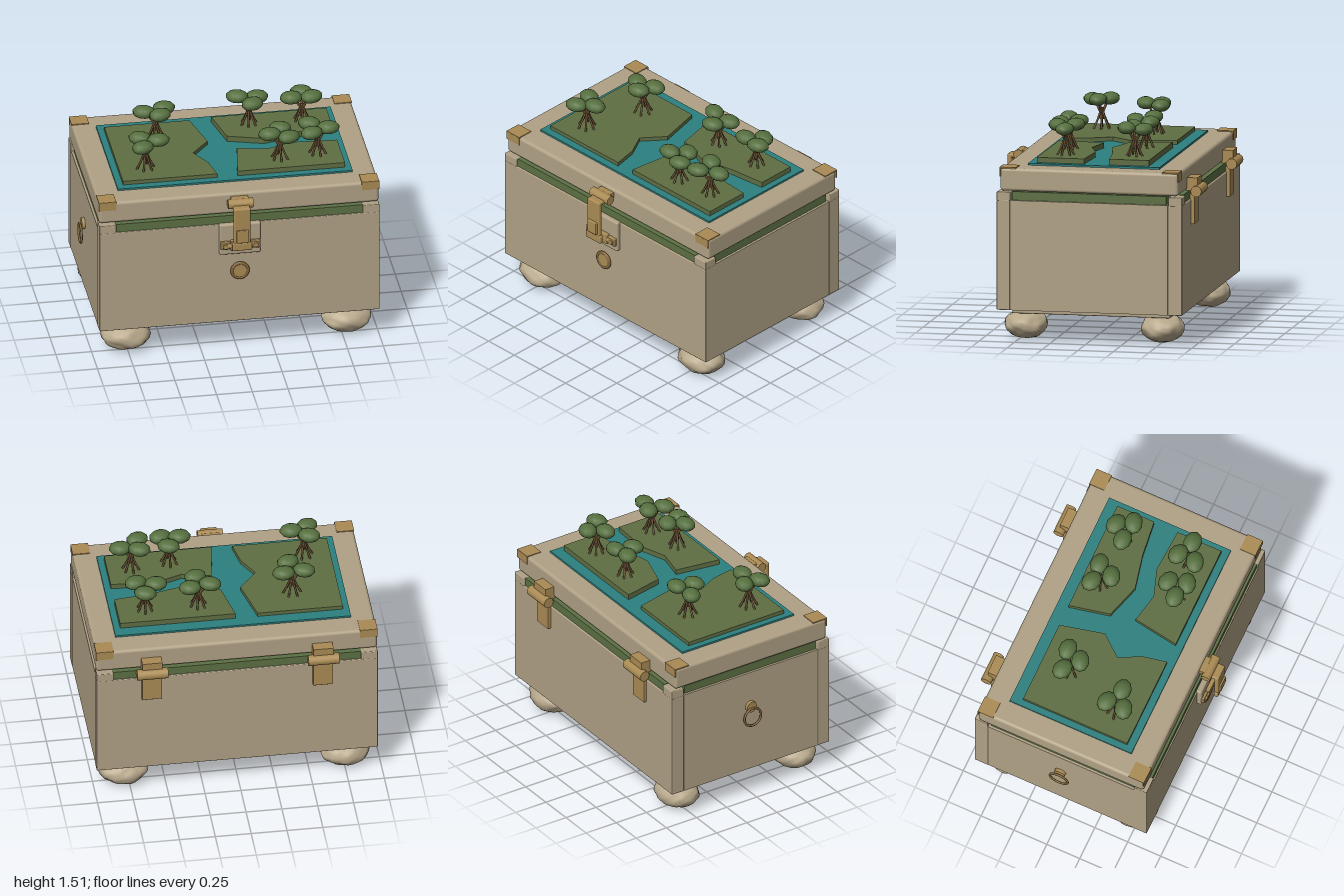
import * as THREE from 'three';
import { mergeVertices } from 'three/addons/utils/BufferGeometryUtils.js';
import { RoundedBoxGeometry } from 'three/addons/geometries/RoundedBoxGeometry.js';

const mat = (name, color) => Object.assign(new THREE.MeshStandardMaterial({ color }), { name });

export function createModel() {
  const M = {
    stone: mat('sandstone', 0xb0a185),
    rock: mat('pale rock', 0xb8a98c),
    brass: mat('brass', 0xaa8b54),
    bronze: mat('dark bronze', 0x80643a),
    lining: mat('lining green', 0x5c7044),
    land: mat('land green', 0x5f6e43),
    water: mat('water teal', 0x2c8080),
    leaf: mat('leaf green', 0x56703f),
    wood: mat('root brown', 0x6b5233),
  };
  const root = new THREE.Group();
  const V = (x, y, z) => new THREE.Vector3(x, y, z);
  const add = (name, geo, m, parent = root) => {
    const mesh = new THREE.Mesh(geo, m);
    mesh.name = name;
    parent.add(mesh);
    return mesh;
  };
  // box given by its limits, optionally with rounded edges
  const box = (name, m, x0, x1, y0, y1, z0, z1, r = 0, parent = root) => {
    const s = [x1 - x0, y1 - y0, z1 - z0];
    const geo = r ? new RoundedBoxGeometry(...s, 3, r) : new THREE.BoxGeometry(...s);
    geo.translate((x0 + x1) / 2, (y0 + y1) / 2, (z0 + z1) / 2);
    return add(name, geo, m, parent);
  };
  // tapered rod between two points
  const rod = (name, m, a, b, r0, r1, sides, parent = root) => {
    const d = b.clone().sub(a);
    const mesh = add(name, new THREE.CylinderGeometry(r1, r0, d.length(), sides), m, parent);
    mesh.position.copy(a).add(b).multiplyScalar(0.5);
    mesh.quaternion.setFromUnitVectors(V(0, 1, 0), d.normalize());
    return mesh;
  };

  const X0 = -0.965, X1 = 0.995, Z0 = -0.68, Z1 = 0.627, CX = 0.015;

  // chest body: front and back slabs, side panels between them, base slab
  box('frontPanel', M.stone, X0, X1, 0.222, 0.99, 0.533, Z1, 0.006);
  box('backPanel', M.stone, X0, X1, 0.222, 0.99, Z0, -0.58, 0.006);
  box('sidePanels', M.stone, X0 + 0.003, X1 - 0.003, 0.222, 0.99, -0.58, 0.533);
  box('base', M.stone, -0.885, 0.912, 0.188, 0.23, -0.58, 0.535, 0.008);

  // green lining showing under the lid, with corner posts
  box('liningLong', M.lining, -0.85, 0.88, 0.98, 1.05, Z0 + 0.012, Z1 - 0.01);
  box('liningWide', M.lining, X0 + 0.02, X1 - 0.02, 0.98, 1.05, -0.565, 0.523);
  for (const x of [X0, X1 - 0.118])
    for (const z of [Z0, Z1 - 0.097])
      box('cornerPost', M.stone, x, x + 0.118, 0.985, 1.048, z, z + 0.097, 0.006);

  // lid with brass corner plates
  const LZ0 = -0.652, LZ1 = 0.602;
  box('lid', M.stone, X0, X1, 1.055, 1.215, LZ0, LZ1, 0.022);
  for (const x of [X0 - 0.001, X1 - 0.121])
    for (const [z, flap] of [[LZ0 - 0.004, LZ0 - 0.005], [LZ1 - 0.112, LZ1 - 0.003]]) {
      box('cornerPlate', M.brass, x, x + 0.122, 1.212, 1.221, z, z + 0.116);
      box('cornerFlap', M.brass, x, x + 0.122, 1.157, 1.218, flap, flap + 0.008);
    }

  // rock feet
  const rockGeo = (seed) => {
    const g0 = new THREE.IcosahedronGeometry(1, 6);
    g0.deleteAttribute('normal');
    g0.deleteAttribute('uv');
    const g = mergeVertices(g0, 1e-4), p = g.attributes.position, v = V(0, 0, 0);
    for (let i = 0; i < p.count; i++) {
      v.fromBufferAttribute(p, i);
      const n = Math.sin(v.x * 4 + seed) * Math.sin(v.y * 5 + seed * 2) * Math.sin(v.z * 4.5 + 1)
        + 0.5 * Math.sin(v.x * 9 + v.y * 7 + seed) * Math.cos(v.z * 8 - v.y * 5);
      v.multiplyScalar(1 + 0.06 * n);
      p.setXYZ(i, v.x * 0.173, v.y * 0.1, v.z * 0.148);
    }
    g.computeVertexNormals();
    return g;
  };
  [[-0.757, 0.46], [0.787, 0.46], [-0.757, -0.502], [0.787, -0.502]].forEach(([x, z], i) =>
    add('rockFoot', rockGeo(i * 1.7), M.rock).position.set(x, 0.103, z));

  // water sheet and land slabs on the lid
  box('water', M.water, -0.805, 0.838, 1.21, 1.228, -0.488, 0.438);
  const lands = [
    [1.256, [-0.76, -0.405], [-0.165, -0.405], [-0.09, -0.09], [-0.215, 0.06], [-0.135, 0.21], [-0.1, 0.385], [-0.76, 0.385]],
    [1.268, [-0.012, -0.405], [0.793, -0.405], [0.793, -0.125], [0.54, -0.095], [0.295, -0.04], [0.05, -0.115]],
    [1.264, [0.09, 0.058], [0.295, 0.1], [0.485, 0.035], [0.793, 0.053], [0.793, 0.385], [0.04, 0.385]],
  ];
  for (const [top, ...pts] of lands) {
    const shape = new THREE.Shape(pts.map(([x, z]) => new THREE.Vector2(x, -z)));
    const geo = new THREE.ExtrudeGeometry(shape, { depth: top - 1.22, bevelEnabled: false });
    add('land', geo.rotateX(-Math.PI / 2).translate(0, 1.22, 0), M.land);
  }

  // mangrove trees: stilt roots, three branches and three leaf clumps
  const leafGeo = new THREE.SphereGeometry(1, 10, 7);
  const trees = [
    [[-0.435, -0.195], [-0.515, -0.22], [-0.37, -0.245], [-0.415, -0.13]],
    [[-0.575, 0.215], [-0.605, 0.16], [-0.487, 0.222], [-0.605, 0.285]],
    [[0.23, -0.27], [0.152, -0.305], [0.292, -0.31], [0.242, -0.197]],
    [[0.6, -0.265], [0.607, -0.33], [0.52, -0.24], [0.66, -0.22]],
    [[0.36, 0.245], [0.373, 0.175], [0.285, 0.265], [0.415, 0.298]],
    [[0.63, 0.215], [0.58, 0.155], [0.705, 0.207], [0.577, 0.283]],
  ];
  trees.forEach(([[cx, cz], ...clumps], t) => {
    const tree = new THREE.Group();
    tree.name = 'mangroveTree';
    root.add(tree);
    const fork = V(cx, 1.355, cz);
    for (let i = 0; i < 6; i++) {
      const a = (i / 6) * Math.PI * 2 + t * 0.9;
      const at = (r, y) => V(cx + Math.cos(a) * r, y, cz + Math.sin(a) * r);
      const path = new THREE.CatmullRomCurve3([at(0.008, 1.38), at(0.028, 1.325), at(0.064, 1.25)]);
      add('stiltRoot', new THREE.TubeGeometry(path, 5, 0.0075, 6), M.wood, tree);
    }
    rod('trunk', M.wood, V(cx, 1.32, cz), V(cx, 1.4, cz), 0.016, 0.013, 7, tree);
    clumps.forEach(([x, z], i) => {
      const y = 1.462 + 0.008 * ((i + t) % 3 - 1);
      rod('branch', M.wood, fork, V(cx + (x - cx) * 0.75, y - 0.01, cz + (z - cz) * 0.75), 0.011, 0.007, 6, tree);
      const leaf = add('leafClump', leafGeo, M.leaf, tree);
      leaf.position.set(x, y, z);
      leaf.scale.set(0.08, 0.044, 0.064);
      leaf.rotation.y = (i - 1) * 0.35;
    });
  });

  // front latch: back plate, pivot bar, barrel and hanging strap
  const latch = new THREE.Group();
  latch.name = 'latch';
  root.add(latch);
  box('latchPlate', M.stone, CX - 0.145, CX + 0.145, 0.762, 1.0, 0.615, 0.657, 0.014, latch);
  box('latchBase', M.brass, CX - 0.07, CX + 0.07, 0.805, 0.88, 0.65, 0.685, 0.006, latch);
  rod('latchPin', M.brass, V(CX - 0.125, 0.84, 0.67), V(CX + 0.125, 0.84, 0.67), 0.018, 0.018, 14, latch);
  for (const s of [-1, 1]) {
    const x = CX + s * 0.105;
    box('latchLug', M.brass, x - 0.034, x + 0.034, 0.81, 0.872, 0.65, 0.674, 0.006, latch);
    rod('latchScrew', M.brass, V(x, 0.84, 0.665), V(x, 0.84, 0.688), 0.02, 0.018, 12, latch);
  }
  box('latchMount', M.brass, CX - 0.06, CX + 0.06, 1.14, 1.19, 0.595, 0.65, 0, latch);
  rod('latchBarrel', M.brass, V(CX - 0.088, 1.163, 0.662), V(CX + 0.088, 1.163, 0.662), 0.034, 0.034, 20, latch);
  box('latchArm', M.brass, CX - 0.058, CX + 0.058, 1.135, 1.163, 0.67, 0.745, 0.01, latch);
  box('latchStrap', M.brass, CX - 0.058, CX + 0.058, 0.84, 1.16, 0.714, 0.746, 0.01, latch);
  box('latchFoot', M.brass, CX - 0.07, CX + 0.07, 0.835, 0.895, 0.716, 0.748, 0.01, latch);
  box('latchTab', M.brass, CX - 0.042, CX + 0.042, 0.9, 0.997, 0.735, 0.76, 0.006, latch);

  // round boss on the front
  rod('bossDisc', M.brass, V(CX, 0.626, 0.62), V(CX, 0.626, 0.65), 0.056, 0.053, 28);
  add('bossRim', new THREE.TorusGeometry(0.056, 0.012, 10, 32), M.bronze).position.set(CX, 0.626, 0.642);

  // hinges on the back
  for (const x of [-0.58, 0.613]) {
    const hinge = new THREE.Group();
    hinge.name = 'hinge';
    root.add(hinge);
    box('hingeBlock', M.brass, x - 0.07, x + 0.07, 1.05, 1.14, -0.725, -0.645, 0, hinge);
    rod('hingeBarrel', M.brass, V(x - 0.108, 1.05, -0.722), V(x + 0.108, 1.05, -0.722), 0.038, 0.038, 20, hinge);
    box('hingeLeaf', M.brass, x - 0.07, x + 0.07, 0.815, 1.03, -0.704, -0.67, 0.005, hinge);
  }

  // pull ring on the right side
  rod('ringMount', M.brass, V(-0.96, 0.722, -0.028), V(-0.984, 0.722, -0.028), 0.042, 0.04, 20);
  const ring = add('pullRing', new THREE.TorusGeometry(0.068, 0.008, 10, 32), M.bronze);
  ring.rotation.y = Math.PI / 2;
  ring.position.set(-0.992, 0.648, -0.028);

  return root;
}
